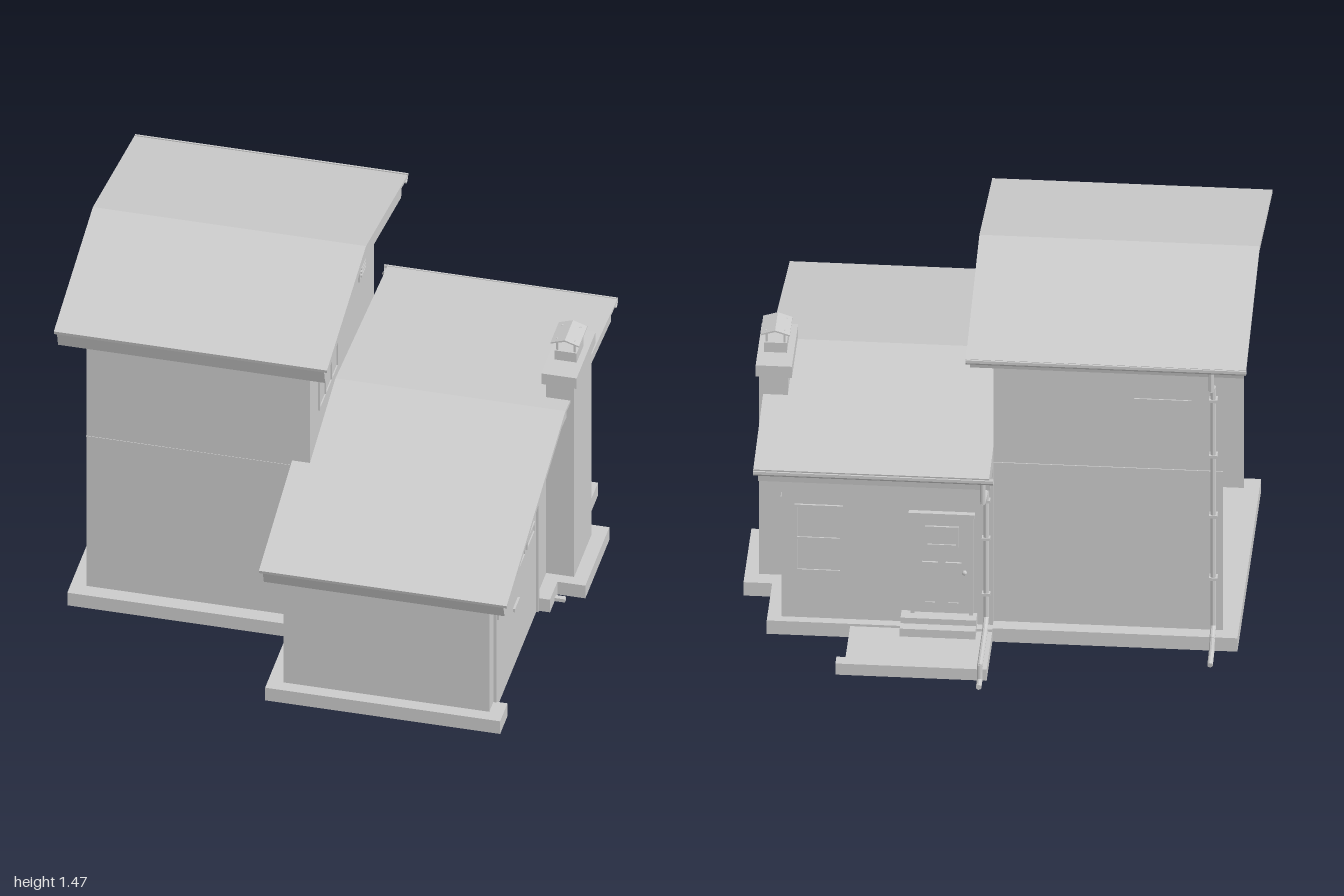
import * as THREE from 'three';

export function createModel() {
  const root = new THREE.Group();
  const mat = new THREE.MeshStandardMaterial({ color: 0xcccccc, flatShading: true, side: THREE.DoubleSide });

  const add = (name, geo) => {
    const m = new THREE.Mesh(geo, mat);
    m.name = name;
    root.add(m);
    return m;
  };
  // Box given by its min and max corners
  const box = (name, x0, x1, y0, y1, z0, z1) => {
    const g = new THREE.BoxGeometry(x1 - x0, y1 - y0, z1 - z0);
    g.translate((x0 + x1) / 2, (y0 + y1) / 2, (z0 + z1) / 2);
    return add(name, g);
  };
  // Side profile of [z, y] points, extruded from x0 to x1
  const profile = (name, pts, x0, x1) => {
    const s = new THREE.Shape(pts.map(p => new THREE.Vector2(p[0], p[1])));
    const g = new THREE.ExtrudeGeometry(s, { depth: x1 - x0, bevelEnabled: false });
    g.rotateY(-Math.PI / 2);
    g.translate(x1, 0, 0);
    return add(name, g);
  };
  // Flat outline of [x, z] points, extruded from y0 to y1
  const slab = (name, pts, y0, y1) => {
    const s = new THREE.Shape(pts.map(p => new THREE.Vector2(p[0], -p[1])));
    const g = new THREE.ExtrudeGeometry(s, { depth: y1 - y0, bevelEnabled: false });
    g.rotateX(-Math.PI / 2);
    g.translate(0, y0, 0);
    return add(name, g);
  };
  // Round pipe through a list of points
  const pipe = (name, pts, r) => {
    const v = pts.map(p => new THREE.Vector3(...p));
    for (let i = 0; i < v.length - 1; i++) {
      const d = v[i + 1].clone().sub(v[i]);
      const m = add(name, new THREE.CylinderGeometry(r, r, d.length() + r * 0.8, 10));
      m.position.copy(v[i]).addScaledVector(d, 0.5);
      m.quaternion.setFromUnitVectors(new THREE.Vector3(0, 1, 0), d.normalize());
    }
  };
  // Half-round gutter running along x
  const gutter = (name, x0, x1, y, z) => {
    const g = new THREE.CylinderGeometry(0.02, 0.02, x1 - x0, 10, 1, true, Math.PI / 2, Math.PI);
    g.rotateZ(Math.PI / 2);
    g.rotateX(Math.PI / 2);
    const lowest = new THREE.Box3().setFromBufferAttribute(g.attributes.position);
    if (lowest.min.y > -0.01) g.rotateX(Math.PI);
    if (Math.abs(lowest.max.y - lowest.min.y) > 0.03) g.rotateX(lowest.max.z > 0.01 ? Math.PI / 2 : -Math.PI / 2);
    g.translate((x0 + x1) / 2, y, z);
    add(name, g);
    box(name + 'Lip', x0, x1, y - 0.004, y + 0.008, z - 0.023, z - 0.016);
  };
  // Frame with panes: axis 'x' faces along x, 'z' faces along z; a..b is the width
  const window_ = (name, axis, at, out, a, b, y0, y1, cols, rows) => {
    const t = 0.008, w = 0.01;
    const bar = (p, q, r, s, d) => {
      const lo = Math.min(at, at + out * d), hi = Math.max(at, at + out * d);
      if (axis === 'x') box(name, lo, hi, r, s, p, q);
      else box(name, p, q, r, s, lo, hi);
    };
    bar(a, b, y0, y1, 0.003);
    for (let i = 0; i <= cols; i++) {
      const c = a + w / 2 + (b - a - w) * i / cols;
      bar(c - w / 2, c + w / 2, y0, y1, t);
    }
    for (let i = 0; i <= rows; i++) {
      const c = y0 + w / 2 + (y1 - y0 - w) * i / rows;
      bar(a, b, c - w / 2, c + w / 2, t);
    }
  };

  // Foundations, with the garage doorway left clear
  box('tallFoundation', -0.94, 0, 0, 0.06, -0.64, 0.52);
  box('lowFoundation', -0.06, 0.81, 0, 0.06, 0.5, 0.94);
  box('lowFoundation', 0, 0.81, 0, 0.06, -0.65, 0.5);
  box('foundationEdge', 0.81, 0.865, 0, 0.06, 0.82, 0.94);
  box('foundationEdge', 0.81, 0.865, 0, 0.06, -0.65, 0.13);
  box('chimneyFoundation', 0.81, 0.975, 0, 0.06, -0.38, 0.01);
  box('drainStub', 0.86, 0.905, 0, 0.015, 0.035, 0.055);

  // Patio and door steps
  slab('patio', [[0, -0.64], [0, -0.925], [0.58, -0.925], [0.58, -0.875], [0.545, -0.875], [0.545, -0.64]], 0, 0.05);
  box('doorStep', 0.06, 0.35, 0.04, 0.11, -0.67, -0.61);
  box('doorStep', 0.06, 0.35, 0.04, 0.085, -0.71, -0.67);

  // Tall block: three walls, left side open
  const T = 0.01;
  box('tallFrontWall', -0.88, 0, 0.06, 1.3, 0.46 - T, 0.46);
  box('tallBackWall', -0.88, 0, 0.06, 1.29, -0.585, -0.585 + T);
  profile('tallRightWall', [[0.46, 0.06], [0.46, 1.3], [-0.06, 1.41], [-0.585, 1.29], [-0.585, 0.06]], -T, 0);
  box('wallBand', -0.88, 0, 0.765, 0.775, -0.589, -0.585);
  box('wallBand', -0.88, 0, 0.768, 0.772, 0.46, 0.462);

  // Low block walls
  box('lowFrontWall', 0, 0.81, 0.06, 0.63, 0.89 - T, 0.89);
  box('lowBackWall', 0, 0.81, 0.06, 0.79, -0.615, -0.615 + T);
  profile('lowRightWall', [[0.89, 0.02], [0.89, 0.63], [0.045, 0.84], [-0.615, 0.79], [-0.615, 0.02]], 0.81 - T, 0.81);
  profile('lowLeftWall', [[0.89, 0.06], [0.89, 0.63], [0.46, 0.735], [0.46, 0.06]], 0, T);
  box('lowLeftReturn', 0, T, 0.06, 0.78, -0.615, -0.585);

  // Tall roof: thin covering over a deeper overhanging layer
  profile('tallRoofCover', [[0.575, 1.33], [-0.06, 1.468], [-0.735, 1.325], [-0.733, 1.312], [-0.06, 1.454], [0.572, 1.316]], -0.98, 0.095);
  profile('tallRoofBase', [[0.572, 1.317], [-0.06, 1.455], [-0.695, 1.319], [-0.68, 1.255], [-0.06, 1.385], [0.555, 1.255]], -0.968, 0.083);

  // Low roof: wider in front of the tall block
  profile('lowRoofCover', [[1, 0.655], [0.46, 0.794], [0.46, 0.78], [0.997, 0.642]], -0.07, 0.905);
  profile('lowRoofBase', [[0.992, 0.643], [0.46, 0.781], [0.46, 0.711], [0.972, 0.585]], -0.057, 0.89);
  profile('lowRoofCover', [[0.46, 0.794], [0.045, 0.9], [-0.8, 0.83], [-0.798, 0.818], [0.045, 0.887], [0.46, 0.78]], 0, 0.905);
  profile('lowRoofBase', [[0.46, 0.781], [0.045, 0.888], [-0.765, 0.821], [-0.757, 0.753], [0.045, 0.818], [0.46, 0.711]], 0, 0.89);
  gutter('tallGutter', -0.98, 0.095, 1.318, -0.723);
  gutter('lowGutter', -0.015, 0.905, 0.82, -0.79);

  // Downspouts with brackets
  const xt = -0.845, xl = 0.025;
  pipe('tallDownspout', [[xt, 1.31, -0.718], [xt, 1.22, -0.718], [xt, 1.16, -0.604], [xt, 0.09, -0.604], [xt, 0.07, -0.66], [xt, 0.03, -0.69], [xt, 0.015, -0.765]], 0.011);
  pipe('lowDownspout', [[xl, 0.81, -0.785], [xl, 0.715, -0.785], [xl, 0.68, -0.625], [xl, 0.1, -0.625], [xl, 0.078, -0.69], [xl, 0.075, -0.94], [xl, 0.015, -0.945], [xl, 0.015, -0.995]], 0.011);
  for (const y of [0.3, 0.58, 0.85, 1.1]) box('pipeBracket', xt - 0.016, xt + 0.016, y, y + 0.012, -0.618, -0.585);
  for (const y of [0.2, 0.45, 0.62]) box('pipeBracket', xl - 0.016, xl + 0.016, y, y + 0.012, -0.638, -0.61);

  // Chimney with cap, flue and small pitched cover
  box('chimney', 0.81, 0.92, 0.06, 0.96, -0.315, -0.035);
  box('chimneyCap', 0.793, 0.932, 0.96, 1.01, -0.335, -0.025);
  box('flue', 0.82, 0.908, 1.01, 1.053, -0.235, -0.125);
  for (const x of [0.83, 0.898]) for (const z of [-0.225, -0.135])
    box('coverPost', x - 0.004, x + 0.004, 1.05, 1.105, z - 0.004, z + 0.004);
  const cover = new THREE.Shape([[0.808, 1.097], [0.864, 1.116], [0.92, 1.097], [0.92, 1.091], [0.864, 1.109], [0.808, 1.091]].map(p => new THREE.Vector2(...p)));
  const coverGeo = new THREE.ExtrudeGeometry(cover, { depth: 0.135, bevelEnabled: false });
  coverGeo.translate(0, 0, -0.248);
  add('chimneyCover', coverGeo);

  // Windows and gable vent
  window_('upperSideWindow', 'x', 0, 1, 0.03, 0.33, 0.95, 1.23, 3, 1);
  window_('lowSideWindow', 'x', 0.81, 1, -0.57, -0.41, 0.27, 0.57, 1, 1);
  window_('lowBackWindow', 'z', -0.615, -1, 0.575, 0.76, 0.27, 0.57, 1, 2);
  window_('upperBackWindow', 'z', -0.585, -1, -0.77, -0.53, 1.08, 1.22, 1, 1);
  window_('gableVent', 'x', 0, 1, -0.41, -0.32, 1.095, 1.24, 1, 1);
  for (let i = 0; i < 7; i++) {
    const y = 1.112 + i * 0.017;
    profile('ventSlat', [[-0.398, y], [-0.332, y], [-0.332, y + 0.009], [-0.398, y + 0.009]], 0, 0.014);
  }

  // Garage door with frame, top windows and handle
  box('garageDoor', 0.808, 0.813, 0, 0.51, 0.14, 0.82);
  box('garageFrame', 0.8, 0.822, 0, 0.522, 0.81, 0.825);
  box('garageFrame', 0.8, 0.822, 0, 0.522, 0.125, 0.14);
  box('garageFrame', 0.8, 0.822, 0.507, 0.522, 0.125, 0.825);
  for (let i = 0; i < 4; i++) {
    const z = 0.185 + i * 0.155;
    window_('garageWindow', 'x', 0.812, 1, z, z + 0.125, 0.415, 0.465, 1, 1);
  }
  box('garageHandle', 0.812, 0.822, 0.27, 0.285, 0.44, 0.52);

  // Back door: frame, leaf, window, lower panels and knob
  box('doorFrame', 0.075, 0.09, 0.11, 0.56, -0.633, -0.61);
  box('doorFrame', 0.3, 0.315, 0.11, 0.56, -0.633, -0.61);
  box('doorFrame', 0.068, 0.322, 0.545, 0.562, -0.636, -0.61);
  box('doorLeaf', 0.09, 0.3, 0.11, 0.545, -0.622, -0.61);
  window_('doorWindow', 'z', -0.622, -1, 0.13, 0.26, 0.41, 0.5, 1, 1);
  for (const x of [0.12, 0.21]) window_('doorPanel', 'z', -0.622, -1, x, x + 0.06, 0.15, 0.34, 1, 1);
  const knob = add('doorKnob', new THREE.SphereGeometry(0.01, 10, 8));
  knob.position.set(0.108, 0.3, -0.633);

  return root;
}
